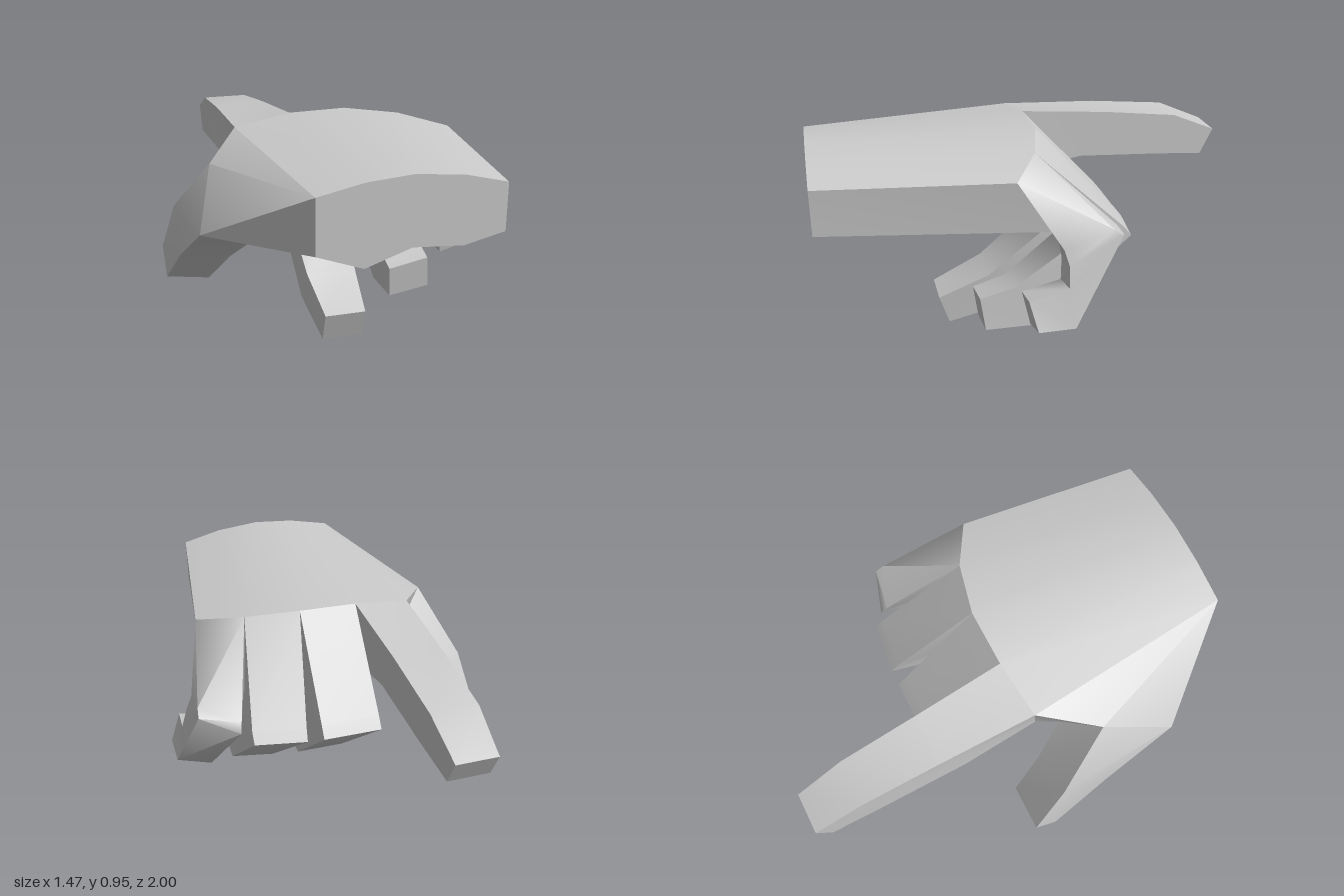
import * as THREE from 'three';
import { toCreasedNormals } from 'three/addons/utils/BufferGeometryUtils.js';

const material = new THREE.MeshStandardMaterial({ color: 0xcccccc });

function addPart(group, name, geometry, crease) {
  const mesh = new THREE.Mesh(toCreasedNormals(geometry, crease), material);
  mesh.name = name;
  group.add(mesh);
}

// Skins a row of cross-sections (corners counter-clockwise seen from the tip).
// Only the free end is capped: the first section of the palm, the last of a finger.
function loft(rings, capFirst = false) {
  const n = rings[0].length;
  const pos = [];
  const tri = (a, b, c) => pos.push(...a, ...b, ...c);
  for (let i = 0; i < rings.length - 1; i++) {
    for (let j = 0; j < n; j++) {
      const k = (j + 1) % n;
      const a = rings[i][j], b = rings[i][k], c = rings[i + 1][k], d = rings[i + 1][j];
      tri(a, b, c);
      tri(a, c, d);
    }
  }
  const end = capFirst ? [...rings[0]].reverse() : rings[rings.length - 1];
  const centre = [0, 1, 2].map((k) => end.reduce((s, p) => s + p[k], 0) / n);
  end.forEach((p, j) => tri(centre, p, end[(j + 1) % n]));
  const geometry = new THREE.BufferGeometry();
  geometry.setAttribute('position', new THREE.Float32BufferAttribute(pos, 3));
  return geometry;
}

// Straight-sided finger section: x range, then y and z of the back and of the pad side.
const section = (x0, x1, yo, zo, yi, zi) => [[x0, yo, zo], [x1, yo, zo], [x1, yi, zi], [x0, yi, zi]];

export function createModel() {
  const group = new THREE.Group();
  group.name = 'hand';

  // Palm, from the cut wrist to the arched row of knuckles
  const wrist = [
    [-0.3, 0.9], [-0.11, 0.94], [0.08, 0.955], [0.28, 0.935], [0.46, 0.89],
    [0.46, 0.69], [0.29, 0.65], [0.08, 0.665], [-0.11, 0.6], [-0.3, 0.67],
  ].map(([x, y]) => [x, y, 1]);
  const knuckles = [
    [-0.4, 0.91, 0.03], [-0.14, 0.95, 0], [0.12, 0.955, 0], [0.36, 0.93, 0.06], [0.56, 0.885, 0.18],
    [0.565, 0.655, 0.03], [0.38, 0.655, 0.02], [0.13, 0.66, 0.02], [-0.14, 0.655, 0.02], [-0.37, 0.69, 0.06],
  ];
  addPart(group, 'palm', loft([wrist, knuckles], true), 0.6);

  // Thumb, growing out of the side of the palm
  addPart(group, 'thumb', loft([
    [knuckles[0], knuckles[9], wrist[9], wrist[0]],
    [[-0.56, 0.83, 0.28], [-0.41, 0.66, 0.16], [-0.44, 0.6, 0.6], [-0.66, 0.64, 0.6]],
    [[-0.69, 0.57, 0.04], [-0.475, 0.48, 0.03], [-0.48, 0.38, 0.24], [-0.7, 0.42, 0.26]],
    [[-0.735, 0.32, -0.11], [-0.52, 0.3, -0.105], [-0.54, 0.18, 0], [-0.735, 0.21, 0]],
  ]), 0.5);

  // Outstretched index finger
  addPart(group, 'indexFinger', loft([
    [knuckles[0], knuckles[1], knuckles[8], knuckles[9]],
    [[-0.4, 0.89, -0.42], [-0.17, 0.905, -0.42], [-0.17, 0.69, -0.3], [-0.4, 0.69, -0.3]],
    section(-0.4, -0.19, 0.855, -0.78, 0.66, -0.7),
    section(-0.395, -0.21, 0.76, -1, 0.635, -0.94),
  ]), 0.6);

  // Curled middle finger
  addPart(group, 'middleFinger', loft([
    [knuckles[1], knuckles[2], knuckles[7], knuckles[8]],
    section(-0.14, 0.125, 0.57, -0.35, 0.62, -0.07),
    section(-0.14, 0.125, 0.52, -0.39, 0.47, -0.06),
    section(-0.12, 0.11, 0.08, 0.12, 0.24, 0.22),
    section(-0.1, 0.085, 0, 0.41, 0.135, 0.455),
  ]), 1.2);

  // Curled ring finger
  addPart(group, 'ringFinger', loft([
    [knuckles[2], knuckles[3], knuckles[6], knuckles[7]],
    [[0.195, 0.57, -0.355], [0.43, 0.58, -0.325], [0.4, 0.62, -0.05], [0.155, 0.62, -0.07]],
    [[0.2, 0.525, -0.39], [0.43, 0.535, -0.36], [0.43, 0.48, -0.04], [0.205, 0.47, -0.06]],
    [[0.25, 0.12, 0.09], [0.45, 0.15, 0.09], [0.435, 0.34, 0.17], [0.245, 0.31, 0.17]],
    [[0.255, 0.12, 0.3], [0.445, 0.15, 0.3], [0.43, 0.3, 0.32], [0.245, 0.265, 0.32]],
  ]), 1.2);

  // Curled little finger
  addPart(group, 'littleFinger', loft([
    [knuckles[3], knuckles[4], knuckles[5], knuckles[6]],
    [[0.465, 0.61, -0.28], [0.64, 0.675, -0.21], [0.635, 0.6, 0], [0.45, 0.58, -0.02]],
    [[0.475, 0.57, -0.31], [0.645, 0.645, -0.25], [0.665, 0.54, -0.015], [0.5, 0.5, -0.025]],
    [[0.575, 0.235, -0.04], [0.73, 0.28, -0.03], [0.69, 0.45, -0.01], [0.545, 0.42, -0.01]],
    [[0.575, 0.235, 0.13], [0.73, 0.28, 0.13], [0.68, 0.405, 0.16], [0.545, 0.38, 0.16]],
  ]), 1.2);

  return group;
}
